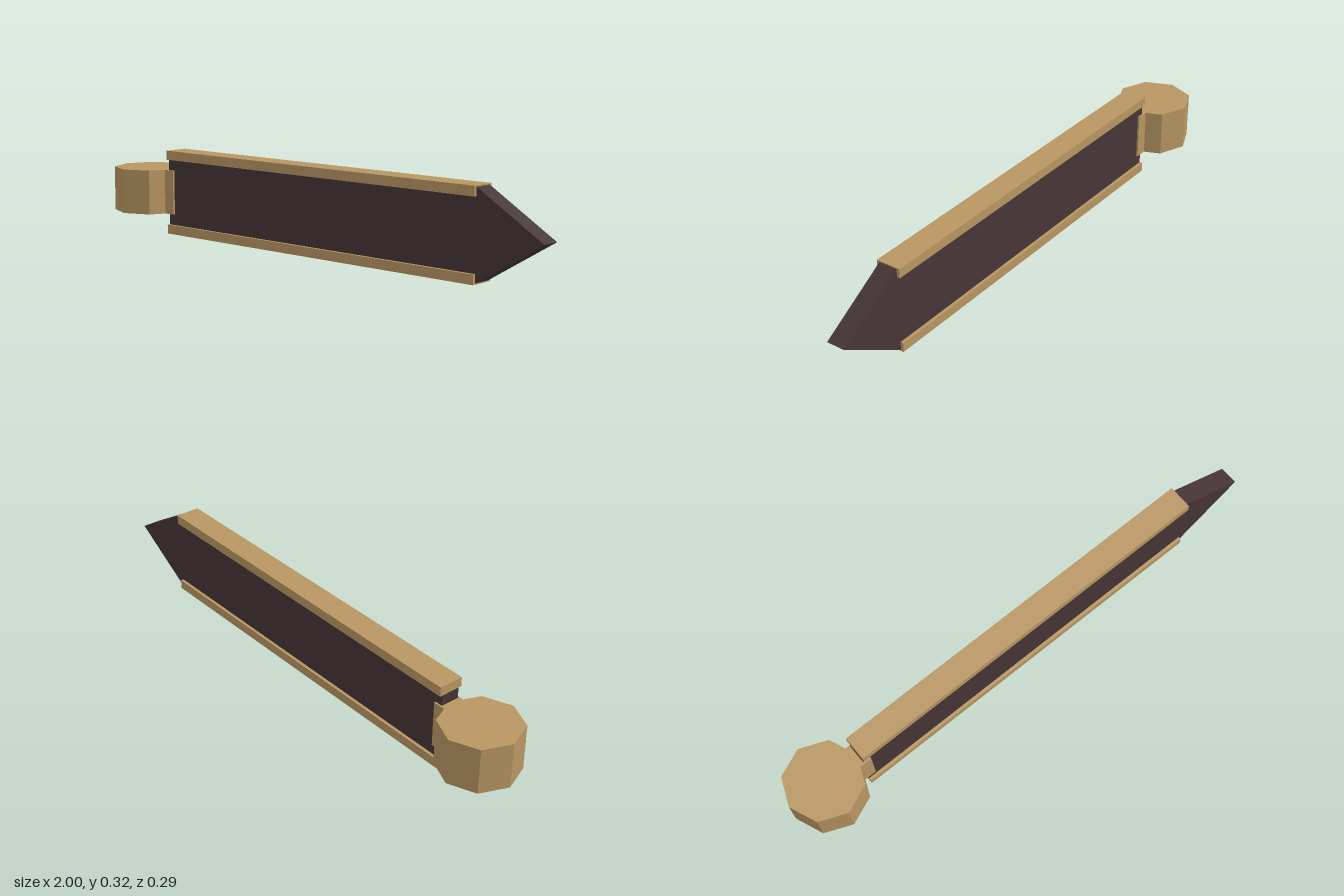
import * as THREE from 'three';

export function createModel() {
  const group = new THREE.Group();
  const wood = new THREE.MeshStandardMaterial({ color: 0xb89662, flatShading: true });
  wood.name = 'light wood';
  const dark = new THREE.MeshStandardMaterial({ color: 0x463536, flatShading: true });
  dark.name = 'dark wood';

  const add = (name, geometry, material, x, y, z) => {
    const mesh = new THREE.Mesh(geometry, material);
    mesh.name = name;
    mesh.position.set(x, y, z);
    group.add(mesh);
  };

  const midY = 0.161, start = -0.715, end = 0.74;

  // Pointed board
  const outline = new THREE.Shape([
    [start + 0.001, 0.004], [end, 0.004], [1, midY], [end, 0.318], [start + 0.001, 0.318],
  ].map(([x, y]) => new THREE.Vector2(x, y)));
  const board = new THREE.ExtrudeGeometry(outline, { depth: 0.07, bevelEnabled: false });
  add('pointedBoard', board, dark, 0, 0, -0.035);

  // Rails along the upper and lower edges
  for (const [name, side] of [['upperRail', 1], ['lowerRail', -1]]) {
    const rail = new THREE.BoxGeometry(end - start, 0.035, 0.092);
    add(name, rail, wood, (start + end) / 2, midY + side * 0.1435, 0);
  }

  // Eight-sided post and the bracket that grips the board
  add('post', new THREE.CylinderGeometry(0.143, 0.143, 0.17, 8), wood, -0.857, midY, 0);
  add('bracket', new THREE.BoxGeometry(0.075, 0.17, 0.084), wood, -0.7225, midY, 0);

  return group;
}
